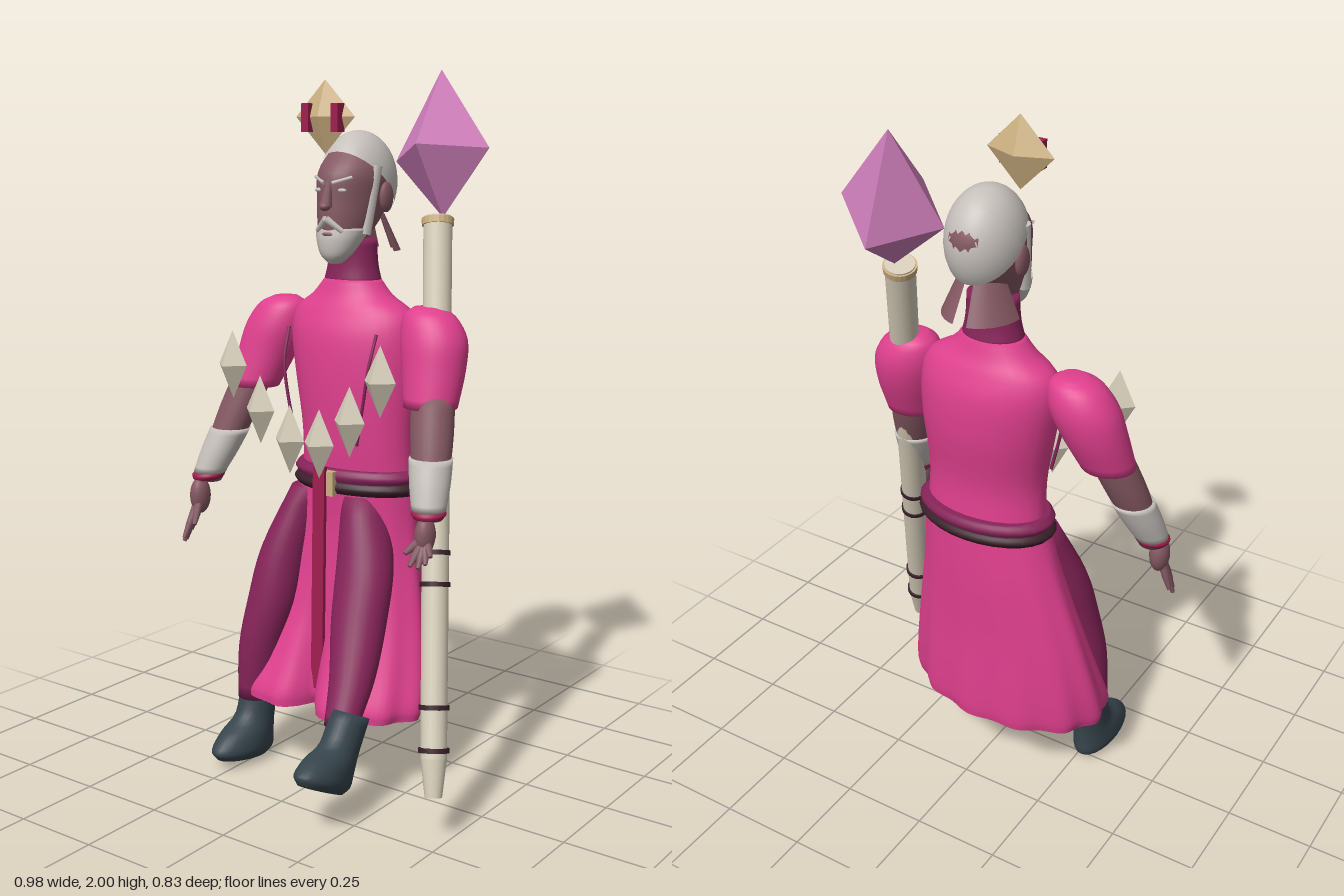
import * as THREE from 'three';
import { ConvexGeometry } from 'three/addons/geometries/ConvexGeometry.js';

const V = (x, y, z) => new THREE.Vector3(x, y, z);

export function createModel() {
  const root = new THREE.Group();
  const mat = (name, color, side = THREE.FrontSide, flatShading = false) =>
    new THREE.MeshStandardMaterial({ name, color, side, flatShading });
  const pink = mat('pink cloth', 0xe0408e, THREE.DoubleSide);
  const wine = mat('wine cloth', 0x862459);
  const crimson = mat('crimson trim', 0xa01e4e);
  const dark = mat('dark leather', 0x3a2029);
  const skin = mat('skin', 0x845862, THREE.DoubleSide);
  const grey = mat('grey hair and linen', 0xc6c0bb);
  const bone = mat('bone', 0xd6cdb9);
  const slate = mat('slate boots', 0x37454d);
  const violet = mat('violet crystal', 0xcf7fbb, THREE.FrontSide, true);
  const gold = mat('pale gold', 0xcdb182, THREE.FrontSide, true);

  const add = (name, geo, material, parent = root) => {
    const m = new THREE.Mesh(geo, material);
    m.name = name;
    parent.add(m);
    return m;
  };

  // Smooth skin through elliptical rings [y, cx, cz, rx, rz]
  function loft(rings, { seg = 28, caps = true, ripple = () => 0 } = {}) {
    const r = [...rings].sort((a, b) => a[0] - b[0]);
    const mid = new THREE.CatmullRomCurve3(r.map(q => V(q[1], q[0], q[2])), false, 'catmullrom');
    const rad = new THREE.CatmullRomCurve3(r.map(q => V(q[3], q[4], 0)), false, 'catmullrom');
    const n = (r.length - 1) * 4, pos = [], idx = [];
    for (let i = 0; i <= n; i++) {
      const c = mid.getPoint(i / n), s = rad.getPoint(i / n);
      for (let j = 0; j < seg; j++) {
        const a = j / seg * Math.PI * 2, k = 1 + ripple(a, i / n);
        pos.push(c.x + Math.cos(a) * s.x * k, c.y, c.z + Math.sin(a) * s.y * k);
      }
    }
    for (let i = 0; i < n; i++) for (let j = 0; j < seg; j++) {
      const a = i * seg + j, b = i * seg + (j + 1) % seg;
      idx.push(a, a + seg, b, a + seg, b + seg, b);
    }
    if (caps) for (const i of [0, n]) {
      const c = mid.getPoint(i / n), k = pos.length / 3;
      pos.push(c.x, c.y, c.z);
      for (let j = 0; j < seg; j++) {
        const a = i * seg + j, b = i * seg + (j + 1) % seg;
        i ? idx.push(k, b, a) : idx.push(k, a, b);
      }
    }
    const g = new THREE.BufferGeometry();
    g.setAttribute('position', new THREE.Float32BufferAttribute(pos, 3));
    g.setIndex(idx);
    g.computeVertexNormals();
    return g;
  }

  // Tapered rod from a (radius ra) to b (radius rb)
  function rod(name, a, b, ra, rb, material, seg = 12) {
    const m = add(name, new THREE.CylinderGeometry(rb, ra, a.distanceTo(b), seg), material);
    m.position.copy(a).lerp(b, 0.5);
    m.quaternion.setFromUnitVectors(V(0, 1, 0), b.clone().sub(a).normalize());
  }
  const ball = (name, p, s, material) => {
    const m = add(name, new THREE.SphereGeometry(1, 16, 12), material);
    m.position.set(...p);
    m.scale.set(...s);
  };

  // Torso and collar
  add('torso', loft([
    [0.87, 0, -0.12, 0.182, 0.108], [1.0, 0, -0.113, 0.177, 0.111], [1.15, -0.01, -0.123, 0.195, 0.125],
    [1.27, -0.02, -0.128, 0.205, 0.122], [1.34, -0.025, -0.13, 0.188, 0.1],
    [1.385, -0.03, -0.13, 0.125, 0.08], [1.43, -0.03, -0.13, 0.084, 0.066]]), pink);
  add('collar', loft([[1.42, -0.03, -0.13, 0.088, 0.068], [1.47, -0.03, -0.13, 0.076, 0.06],
    [1.54, -0.03, -0.13, 0.07, 0.06]]), wine);
  // Two lobes flaring behind the neck
  for (const start of [Math.PI * 0.52, Math.PI * 1.06]) {
    const flap = add('neckFlap', new THREE.CylinderGeometry(0.072, 0.122, 0.1, 10, 1, true, start, Math.PI * 0.42), skin);
    flap.position.set(-0.025, 1.555, -0.16);
    flap.scale.x = 0.88;
  }

  // Belt, buckle and hanging strip
  add('upperBelt', loft([[0.865, 0, -0.12, 0.195, 0.122], [0.885, 0, -0.12, 0.206, 0.13],
    [0.905, 0, -0.12, 0.19, 0.12]]), wine);
  add('lowerBelt', loft([[0.835, 0, -0.12, 0.198, 0.122], [0.852, 0, -0.12, 0.21, 0.132],
    [0.87, 0, -0.12, 0.198, 0.122]]), dark);
  add('buckle', new THREE.BoxGeometry(0.05, 0.07, 0.02), gold).position.set(-0.015, 0.865, 0.012);
  const strip = add('hangingStrip', new THREE.BoxGeometry(0.04, 0.655, 0.012), crimson);
  strip.position.set(-0.033, 0.585, 0.03);
  strip.rotation.x = -0.02;

  // Pleated skirt with a deep front fold behind the strip
  const frontFold = a => Math.exp(-(((a - Math.PI / 2) / 0.15) ** 2));
  add('skirt', loft([
    [0.86, 0, -0.12, 0.19, 0.118], [0.7, -0.02, -0.12, 0.218, 0.12], [0.5, -0.035, -0.103, 0.265, 0.133],
    [0.35, -0.04, -0.078, 0.295, 0.16], [0.25, -0.04, -0.055, 0.308, 0.183], [0.21, -0.04, -0.05, 0.3, 0.183]],
    { seg: 96, caps: false, ripple: (a, t) => (1 - t) * (0.03 * Math.sin(a * 12) - 0.62 * frontFold(a)) }), pink);

  // Legs and boots
  add('leftLeg', loft([[0.83, 0.055, -0.07, 0.06, 0.07], [0.65, 0.1, -0.01, 0.083, 0.075],
    [0.5, 0.122, 0.05, 0.08, 0.075], [0.36, 0.15, 0.12, 0.064, 0.065], [0.25, 0.165, 0.19, 0.048, 0.05]]), wine);
  add('rightLeg', loft([[0.83, -0.14, -0.08, 0.05, 0.07], [0.65, -0.185, -0.015, 0.068, 0.075],
    [0.5, -0.205, 0.02, 0.074, 0.075], [0.35, -0.235, 0.04, 0.066, 0.07], [0.19, -0.255, 0.04, 0.055, 0.06]]), wine);
  for (const [name, p, pitch, yaw] of [['leftBoot', [0.178, 0.085, 0.268], -0.46, 0.08],
    ['rightBoot', [-0.27, 0.005, 0.045], -0.14, -0.03]]) {
    const boot = add(name, loft([[0, 0, 0.05, 0.045, 0.1], [0.025, 0, 0.05, 0.061, 0.12],
      [0.07, 0, 0.035, 0.059, 0.1], [0.12, 0, 0.005, 0.052, 0.066], [0.215, 0, -0.005, 0.054, 0.058]]), slate);
    boot.position.set(...p);
    boot.rotation.set(pitch, yaw, 0);
  }

  // Arms: x positions per side at shoulder top, cap, bulge, mid sleeve, cuff of sleeve, elbow, forearm, wrist
  const arms = [
    ['right', [-0.265, -0.275, -0.295, -0.32, -0.347, -0.345, -0.388, -0.435]],
    ['left', [0.22, 0.23, 0.247, 0.258, 0.268, 0.276, 0.302, 0.337]]];
  for (const [side, x] of arms) {
    add(side + 'Sleeve', loft([[1.365, x[0], -0.125, 0.035, 0.032], [1.34, x[1], -0.125, 0.075, 0.064],
      [1.28, x[2], -0.12, 0.096, 0.083], [1.2, x[3], -0.105, 0.09, 0.082], [1.1, x[4], -0.075, 0.076, 0.07]]), pink);
    add(side + 'Forearm', loft([[1.14, x[5], -0.075, 0.062, 0.058], [1.0, x[6], -0.03, 0.058, 0.055],
      [0.82, x[7], 0.035, 0.037, 0.036]]), skin);
    const at = (y, s) => [y, x[6] + (x[7] - x[6]) * (1 - y) / 0.16, -0.03 + 0.065 * (1 - y) / 0.16, s, s];
    add(side + 'Cuff', loft([at(0.975, 0.06), at(0.91, 0.056), at(0.845, 0.047)]), grey);
    add(side + 'WristBand', loft([at(0.85, 0.042), at(0.837, 0.048), at(0.825, 0.04)]), crimson);
  }

  // Hands
  const hand = (side, palm, tips) => {
    ball(side + 'Palm', palm, [0.028, 0.055, 0.034], skin);
    for (const t of tips) {
      const base = V(...palm).lerp(V(...t), 0.25), knuckle = V(...palm).lerp(V(...t), 0.65);
      rod(side + 'Finger', base, knuckle, 0.013, 0.011, skin, 8);
      rod(side + 'FingerTip', knuckle, V(...t), 0.011, 0.006, skin, 8);
    }
  };
  hand('right', [-0.45, 0.775, 0.058], [[-0.485, 0.64, 0.085], [-0.475, 0.64, 0.105],
    [-0.462, 0.655, 0.12], [-0.485, 0.665, 0.06], [-0.425, 0.7, 0.115]]);
  hand('left', [0.343, 0.78, 0.06], [[0.37, 0.715, 0.1], [0.355, 0.705, 0.112],
    [0.335, 0.71, 0.122], [0.38, 0.735, 0.09], [0.315, 0.74, 0.115]]);

  // Head
  add('head', loft([[1.49, -0.03, -0.06, 0.03, 0.03], [1.53, -0.03, -0.075, 0.055, 0.06],
    [1.58, -0.03, -0.103, 0.076, 0.095], [1.65, -0.03, -0.135, 0.09, 0.125], [1.72, -0.03, -0.148, 0.096, 0.13],
    [1.78, -0.03, -0.16, 0.075, 0.09], [1.82, -0.03, -0.16, 0.035, 0.05]]), skin);
  const hair = new THREE.SphereGeometry(1, 32, 20, 0, Math.PI * 2, 0, 1.6);
  hair.rotateX(-0.66).scale(0.102, 0.14, 0.123).translate(-0.03, 1.695, -0.155);
  hair.computeVertexNormals();
  add('hair', hair, grey);
  add('beard', loft([[1.475, -0.03, -0.045, 0.018, 0.02], [1.5, -0.03, -0.05, 0.045, 0.042],
    [1.54, -0.03, -0.068, 0.066, 0.064], [1.572, -0.03, -0.085, 0.077, 0.075]]), grey);
  ball('lips', [-0.03, 1.556, -0.012], [0.02, 0.007, 0.008], skin);
  rod('nose', V(-0.03, 1.71, -0.022), V(-0.03, 1.632, -0.002), 0.008, 0.018, skin, 8);
  ball('noseTip', [-0.03, 1.632, 0.002], [0.015, 0.012, 0.017], skin);
  for (const s of [-1, 1]) {
    const x = d => -0.03 + s * d;
    ball('ear', [x(0.098), 1.655, -0.15], [0.014, 0.042, 0.028], skin);
    ball('eye', [x(0.037), 1.675, -0.024], [0.016, 0.006, 0.007], grey);
    rod('eyebrow', V(x(0.014), 1.694, -0.012), V(x(0.062), 1.71, -0.04), 0.006, 0.005, grey, 6);
    rod('moustache', V(x(0), 1.598, -0.003), V(x(0.042), 1.565, -0.022), 0.011, 0.007, grey, 8);
    rod('sideburn', V(x(0.086), 1.74, -0.12), V(x(0.067), 1.555, -0.09), 0.016, 0.018, grey, 8);
    // Crimson pins on the floating crown and thin cords on the chest
    add('crownPin', new THREE.BoxGeometry(0.024, 0.075, 0.03), crimson).position.set(x(0.049), 1.868, 0.012);
    const cord = new THREE.CatmullRomCurve3([V(x(0.15), 1.29, -0.03), V(x(0.145), 1.2, 0.0),
      V(x(0.13), 1.1, 0.004), V(x(0.105), 0.98, -0.002)]);
    add('chestCord', new THREE.TubeGeometry(cord, 16, 0.005, 6), wine);
  }

  // Floating crown gem and the arc of bone gems
  const crown = add('crownGem', new THREE.OctahedronGeometry(1), gold);
  crown.position.set(-0.033, 1.87, -0.004);
  crown.scale.set(0.098, 0.098, 0.036);
  [[-0.285, 1.187], [-0.187, 1.068], [-0.083, 0.995], [0.018, 0.995], [0.12, 1.068], [0.219, 1.187]].forEach(([x, y]) => {
    const gem = add('floatingGem', new THREE.OctahedronGeometry(1), bone);
    gem.position.set(x, y, 0.095);
    gem.scale.set(0.05, 0.097, 0.048);
  });

  // Staff: straight leaning shaft with rings, blunt foot and crystal
  const P = y => V(0.192 + 0.28 * (1.6 - y) / 1.48, y, -0.22 + 0.425 * (1.6 - y) / 1.48);
  rod('staffShaft', P(0.22), P(1.6), 0.035, 0.04, bone, 20);
  rod('staffFoot', P(0.125), P(0.22), 0.023, 0.035, bone, 20);
  for (const y of [0.24, 0.345, 0.65, 0.73]) rod('staffRing', P(y - 0.006), P(y + 0.006), 0.041, 0.041, dark, 20);
  rod('staffCollar', P(1.578), P(1.596), 0.044, 0.045, gold, 20);
  add('staffCrystal', new ConvexGeometry([V(0.12, 2, -0.343), V(0.203, 1.6, -0.228), V(0.15, 1.72, -0.415),
    V(0.31, 1.788, -0.29), V(0.175, 1.8, -0.13), V(0.022, 1.748, -0.265)]), violet);

  return root;
}
